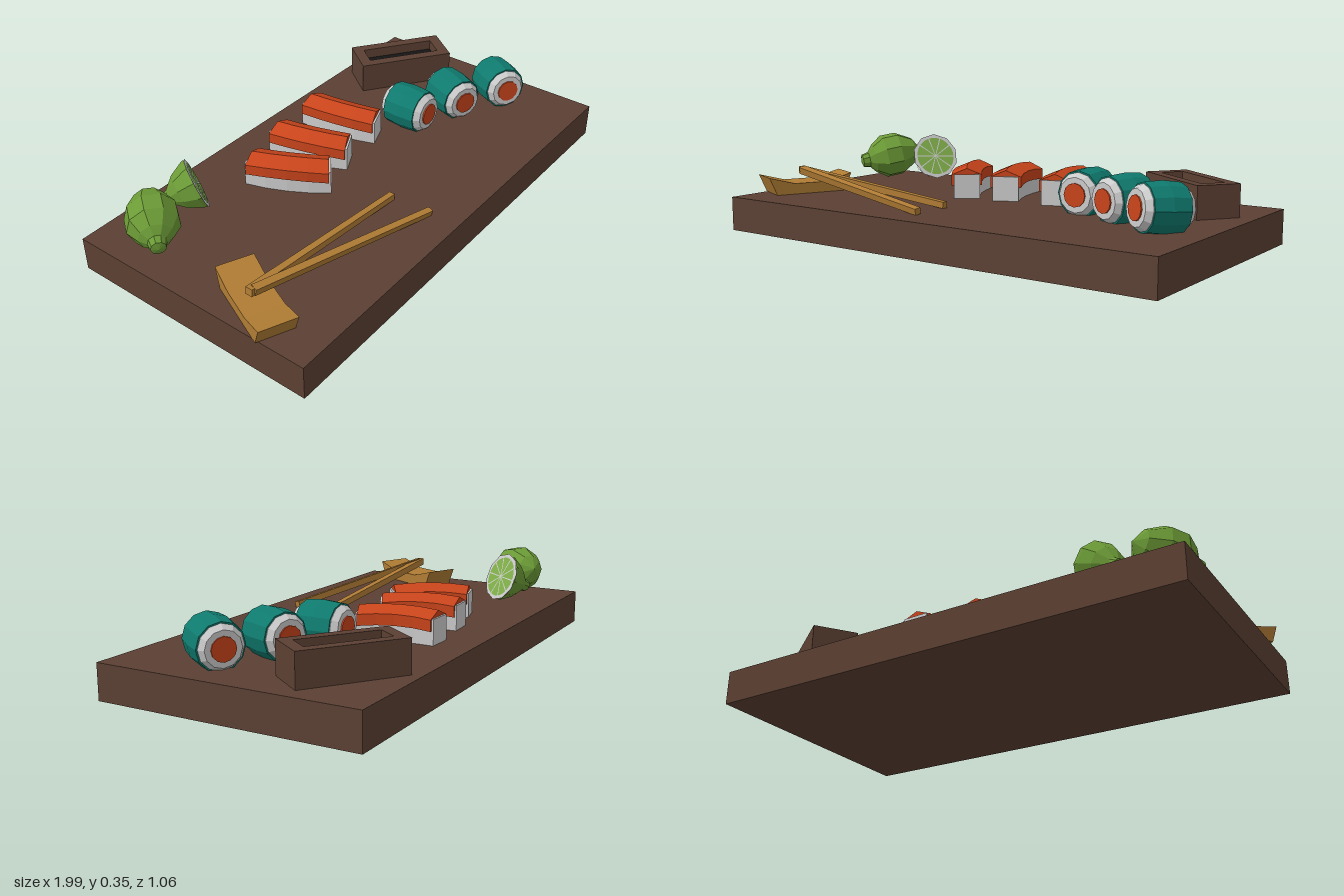
import * as THREE from 'three';

const mat = (color) => new THREE.MeshStandardMaterial({ color, flatShading: true });
const BROWN = mat(0x5c4033), TEAL = mat(0x0f7a6e), ORANGE = mat(0xc8441b), WHITE = mat(0xcccccc);
const GREEN = mat(0x6b9a36), PULP = mat(0x7fae4a), WOOD = mat(0xb07c34), BLACK = mat(0x151515);
const TOP = 0.14; // upper face of the board
const UP = new THREE.Vector3(0, 1, 0);

function add(parent, name, geometry, material, x = 0, y = 0, z = 0) {
  const mesh = new THREE.Mesh(geometry, material);
  mesh.name = name;
  mesh.position.set(x, y, z);
  parent.add(mesh);
  return mesh;
}

function group(parent, name, x, y, z, turn = 0) {
  const g = new THREE.Group();
  g.name = name;
  g.position.set(x, y, z);
  g.rotation.y = turn;
  parent.add(g);
  return g;
}

const toShape = (pts) => new THREE.Shape(pts.map(([x, y]) => new THREE.Vector2(x, y)));
const lathe = (pts, sides) => new THREE.LatheGeometry(pts.map(([r, y]) => new THREE.Vector2(r, y)), sides);
const aim = (obj, x, y, z) => obj.quaternion.setFromUnitVectors(UP, new THREE.Vector3(x, y, z).normalize());

// Prism along z, bowed sideways and drooping slightly at its ends
function bentPrism(profile, length, droop) {
  const geo = new THREE.ExtrudeGeometry(toShape(profile), { depth: length, steps: 4, bevelEnabled: false });
  geo.translate(0, 0, -length / 2);
  const p = geo.attributes.position;
  for (let i = 0; i < p.count; i++) {
    const t = p.getZ(i) / 0.16;
    const x = p.getX(i);
    p.setX(i, x - 0.018 * (1 - t * t));
    p.setZ(i, p.getZ(i) - 0.2 * t * x);
    p.setY(i, p.getY(i) - droop * t * t);
  }
  geo.computeVertexNormals();
  return geo;
}

// Rice block with a ridged slice of fish on top
function addNigiri(root, x, z, turn) {
  const g = group(root, 'nigiri', x, TOP, z, turn);
  add(g, 'riceBlock', bentPrism([[-0.052, 0], [0.052, 0], [0.052, 0.1], [-0.052, 0.1]], 0.325, 0), WHITE);
  add(g, 'fishSlice', bentPrism(
    [[-0.062, 0.062], [0.062, 0.062], [0.062, 0.106], [0, 0.132], [-0.062, 0.106]], 0.31, 0.008), ORANGE);
}

// Rice roll lying along z: rice, seaweed band, filling
function addRoll(root, x, y, z, turn, pitch) {
  const g = group(root, 'roll', x, y, z);
  g.rotation.set(pitch, turn, 0, 'YXZ');
  const body = new THREE.Group();
  body.name = 'rollBody';
  body.rotation.x = Math.PI / 2;
  g.add(body);
  add(body, 'rollRice', lathe([[0, -0.098], [0.068, -0.098], [0.084, -0.075], [0.084, 0.075], [0.068, 0.098], [0, 0.098]], 12), WHITE);
  add(body, 'seaweedBand', lathe([[0.08, -0.073], [0.09, -0.073], [0.096, 0], [0.09, 0.073], [0.08, 0.073]], 12), TEAL);
  add(body, 'filling', new THREE.CylinderGeometry(0.046, 0.046, 0.207, 12), ORANGE);
}

export function createModel() {
  const root = new THREE.Group();
  root.name = 'sushiBoard';

  add(root, 'board', new THREE.BoxGeometry(1.97, TOP, 1.06), BROWN, 0.015, TOP / 2, 0);

  // Sushi
  addNigiri(root, -0.225, -0.155, 0.47);
  addNigiri(root, -0.028, -0.205, 0.27);
  addNigiri(root, 0.208, -0.23, 0.175);
  addRoll(root, 0.415, 0.216, -0.033, 0, 0);
  addRoll(root, 0.617, 0.22, 0.05, -0.38, 0);
  addRoll(root, 0.818, 0.222, 0.16, -0.57, -0.06);

  // Sauce dish with a sunken dark floor
  const dish = group(root, 'sauceDish', 0.717, TOP, -0.297, -0.625);
  const rect = (w, d) => [[-w, -d], [w, -d], [w, d], [-w, d]];
  const rim = toShape(rect(0.206, 0.09));
  rim.holes.push(toShape(rect(0.16, 0.048)));
  const wall = new THREE.ExtrudeGeometry(rim, { depth: 0.128, bevelEnabled: false });
  wall.rotateX(-Math.PI / 2);
  add(dish, 'dishWall', wall, BROWN);
  add(dish, 'sauce', new THREE.BoxGeometry(0.322, 0.085, 0.098), BLACK, 0, 0.0425, 0);

  // Whole lime
  const lime = add(root, 'wholeLime', lathe([[0, -0.14], [0.06, -0.105], [0.1, -0.035],
    [0.1, 0.035], [0.066, 0.085], [0.036, 0.11], [0.03, 0.14], [0, 0.148]], 9), GREEN, -0.82, 0.248, -0.3);
  aim(lime, -0.165, -0.05, 0.23);

  // Half lime, cut face along local +y
  const half = group(root, 'halfLime', -0.572, 0.257, -0.322);
  aim(half, 0.77, 0.36, 0.52);
  add(half, 'halfLimePeel', lathe([[0, -0.15], [0.022, -0.145], [0.03, -0.115], [0.072, -0.07], [0.1, -0.015], [0.104, 0]], 10), GREEN);
  const face = group(half, 'cutFace', 0, 0, 0);
  face.rotation.x = -Math.PI / 2;
  add(face, 'pith', new THREE.CircleGeometry(0.104, 10), WHITE);
  const wedges = 10, step = Math.PI * 2 / wedges;
  for (let i = 0; i < wedges; i++) {
    const a = i * step;
    add(face, 'pulpWedge', new THREE.CircleGeometry(0.081, 2, a - step * 0.48, step * 0.96), PULP,
      0.005 * Math.cos(a), 0.005 * Math.sin(a), 0.002);
  }

  // Chopstick rest with upturned ends
  const restGeo = new THREE.ExtrudeGeometry(toShape([[-0.15, 0], [0.15, 0], [0.182, 0.075], [0.07, 0.045],
    [-0.07, 0.045], [-0.182, 0.075]]), { depth: 0.148, bevelEnabled: false });
  restGeo.translate(0, 0, -0.074);
  const rest = add(root, 'chopstickRest', restGeo, WOOD, -0.851, TOP, 0.226);
  rest.rotation.y = -Math.atan2(0.325, -0.145);

  // Chopsticks leaning from the rest down to the board
  const sticks = [[[-0.88, 0.23, 0.221], [-0.075, 0.153, 0.23]], [[-0.865, 0.23, 0.228], [-0.067, 0.153, 0.402]]];
  for (const [from, to] of sticks) {
    const a = new THREE.Vector3(...from), b = new THREE.Vector3(...to);
    const dir = b.clone().sub(a);
    const geo = new THREE.CylinderGeometry(0.018, 0.021, dir.length(), 4);
    geo.rotateY(Math.PI / 4);
    const stick = add(root, 'chopstick', geo, WOOD, ...a.add(b).multiplyScalar(0.5).toArray());
    aim(stick, dir.x, dir.y, dir.z);
  }

  return root;
}
